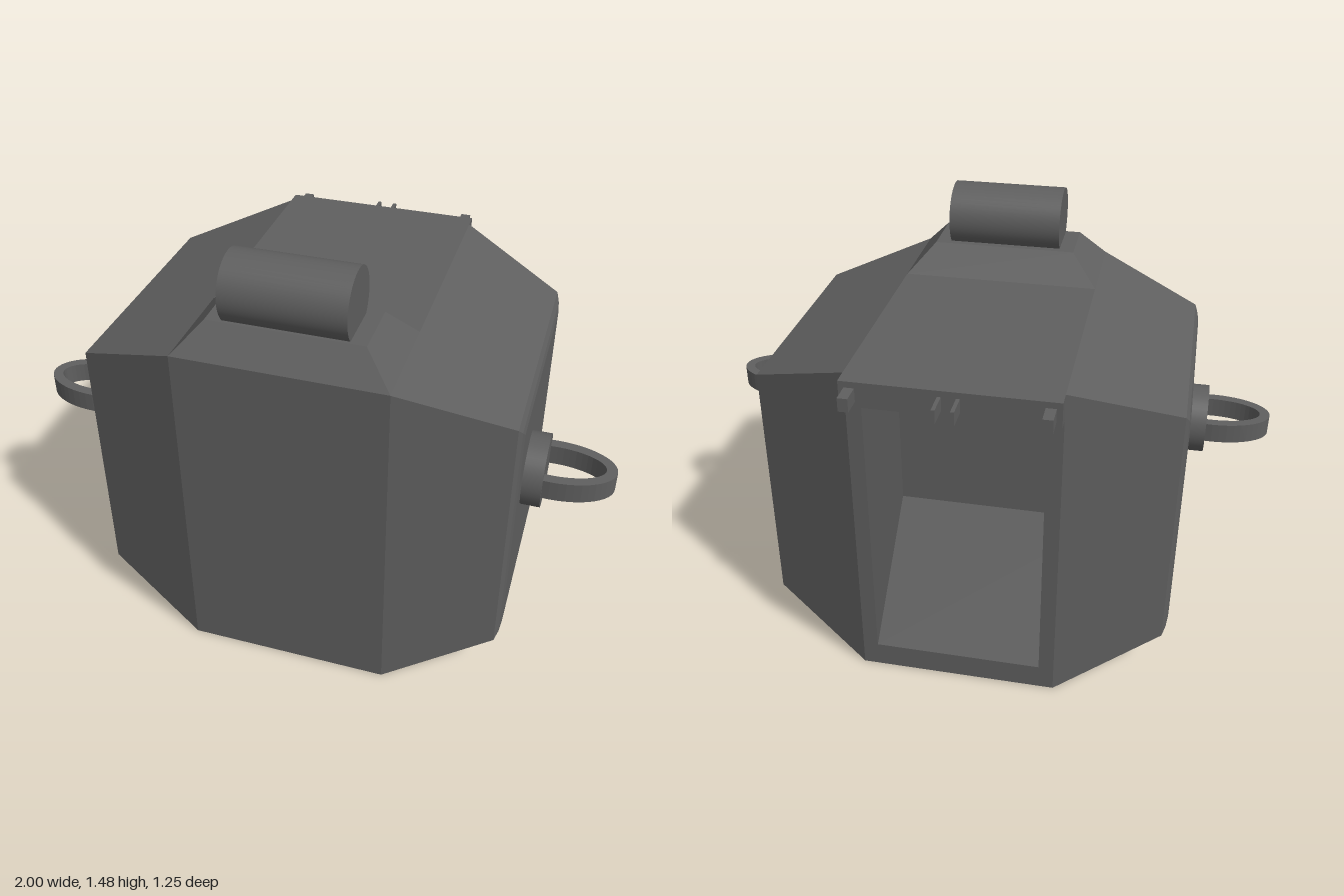
import * as THREE from 'three';

const grey = new THREE.MeshStandardMaterial({ color: 0x5f5f5f });
const faceted = new THREE.MeshStandardMaterial({ color: 0x5f5f5f, flatShading: true });

function add(parent, name, geometry, x = 0, y = 0, z = 0, material = grey) {
  const mesh = new THREE.Mesh(geometry, material);
  mesh.name = name;
  mesh.position.set(x, y, z);
  parent.add(mesh);
  return mesh;
}

// Chamfered shell: rectangular cross-sections along x, with a cavity in the back
function shellGeometry() {
  const pos = [];
  const quad = (a, b, c, d) => pos.push(...a, ...b, ...c, ...a, ...c, ...d);
  // Corner order: bottom front, top front, top back, bottom back
  const section = (x, y0, y1, z0, z1) =>
    [[x, y0, z1], [x, y1, z1], [x, y1, z0], [x, y0, z0]];
  const half = [
    [0.342, 0, 1.187, -0.493, 0.622],
    [0.698, 0.165, 1.054, -0.332, 0.502],
    [0.709, 0.187, 1.03, -0.305, 0.477],
    [0.714, 0.212, 1.005, -0.278, 0.452],
  ];
  const rings = [
    ...half.slice().reverse().map(([x, ...r]) => section(-x, ...r)),
    ...half.map((r) => section(...r)),
  ];
  const middle = half.length - 1;
  for (let s = 0; s < rings.length - 1; s++) {
    const A = rings[s], B = rings[s + 1];
    for (let i = 0; i < 4; i++) {
      const j = (i + 1) % 4;
      if (s === middle && i === 2) continue; // back opening
      quad(A[i], B[i], B[j], A[j]);
    }
  }
  // End panels
  const L = rings[0], R = rings[rings.length - 1];
  quad(L[0], L[1], L[2], L[3]);
  quad(R[0], R[3], R[2], R[1]);

  // Frame around the opening, cavity walls and cavity end
  const loop = (w, y0, y1, z) => [[-w, y1, z], [w, y1, z], [w, y0, z], [-w, y0, z]];
  const loops = [
    loop(0.342, 0, 1.187, -0.493),
    loop(0.29, 0.088, 1.1, -0.493),
    loop(0.445, 0.08, 1.138, 0.42),
  ];
  for (let n = 0; n < 2; n++) {
    for (let k = 0; k < 4; k++) {
      const m = (k + 1) % 4;
      quad(loops[n][k], loops[n][m], loops[n + 1][m], loops[n + 1][k]);
    }
  }
  quad(...loops[2]);

  const g = new THREE.BufferGeometry();
  g.setAttribute('position', new THREE.Float32BufferAttribute(pos, 3));
  g.computeVertexNormals();
  return g;
}

// Box whose top is narrowed in x and z
function taperedBox(w, h, d, topX, topZ) {
  const g = new THREE.BoxGeometry(w, h, d).toNonIndexed();
  const p = g.attributes.position;
  for (let i = 0; i < p.count; i++) {
    if (p.getY(i) > 0) p.setXYZ(i, p.getX(i) * topX, p.getY(i), p.getZ(i) * topZ);
  }
  g.computeVertexNormals();
  return g;
}

// Flat elliptical ring lying in the xz plane
function ringGeometry() {
  const shape = new THREE.Shape().absellipse(0, 0, 0.2, 0.11, 0, Math.PI * 2);
  shape.holes.push(new THREE.Path().absellipse(0, 0, 0.165, 0.075, 0, Math.PI * 2, true));
  return new THREE.ExtrudeGeometry(shape, { depth: 0.07, bevelEnabled: false, curveSegments: 24 })
    .translate(0, 0, -0.035)
    .rotateX(-Math.PI / 2);
}

export function createModel() {
  const model = new THREE.Group();
  model.name = 'hollowHousing';

  add(model, 'shell', shellGeometry(), 0, 0, 0, faceted);

  // Top mount with its roller
  add(model, 'rollerMount', taperedBox(0.684, 0.1, 0.352, 0.25 / 0.342, 0.1 / 0.176),
    0, 1.237, 0.446, faceted);
  add(model, 'roller', new THREE.CylinderGeometry(0.114, 0.114, 0.396, 48).rotateZ(Math.PI / 2),
    0, 1.366, 0.453);

  // Hinge rail over the back opening, with outer lugs and thin middle lugs
  add(model, 'hingeRail', new THREE.BoxGeometry(0.684, 0.087, 0.053), 0, 1.1435, -0.5185);
  for (const side of [-1, 1]) {
    add(model, 'outerLug', new THREE.BoxGeometry(0.033, 0.046, 0.067), side * 0.307, 1.143, -0.5775);
    add(model, 'middleLug', new THREE.BoxGeometry(0.012, 0.046, 0.08), side * 0.029, 1.143, -0.584);

    // Side boss and ring handle
    const handle = new THREE.Group();
    handle.name = side > 0 ? 'leftHandle' : 'rightHandle';
    handle.position.set(0, 0.722, 0.245);
    add(handle, 'boss', new THREE.CylinderGeometry(0.122, 0.122, 0.085, 40).rotateZ(Math.PI / 2),
      side * 0.735);
    add(handle, 'ring', ringGeometry(), side * 0.8, 0.007, -0.003);
    model.add(handle);
  }
  return model;
}
